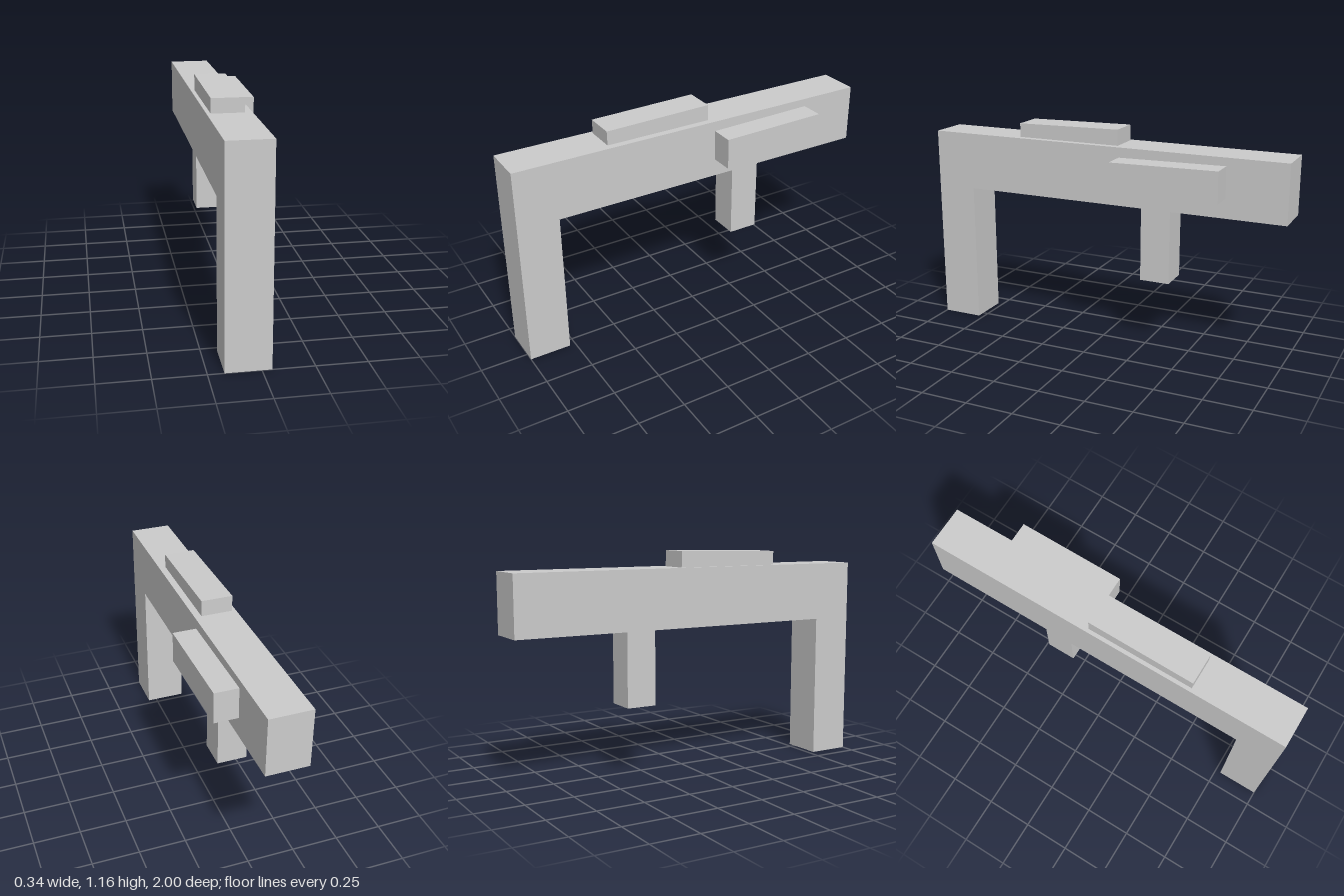
import * as THREE from 'three';

export function createModel() {
  const group = new THREE.Group();
  const material = new THREE.MeshStandardMaterial({ color: 0xcccccc, flatShading: true });

  const add = (name, geometry) => {
    const mesh = new THREE.Mesh(geometry, material);
    mesh.name = name;
    group.add(mesh);
    return mesh;
  };
  const addBox = (name, size, position, tilt = 0) => {
    const mesh = add(name, new THREE.BoxGeometry(...size));
    mesh.position.set(...position);
    mesh.rotation.x = tilt;
  };

  // L-shaped body: long beam with the tall front leg, drawn in (z, y) and extruded across x
  const profile = new THREE.Shape(
    [[-1, 0.768], [0.78, 0.768], [0.78, 0], [1, 0], [1, 1.077], [-1, 1.077]]
      .map(([z, y]) => new THREE.Vector2(-z, y))
  );
  const width = 0.22;
  const body = new THREE.ExtrudeGeometry(profile, { depth: width, bevelEnabled: false });
  body.rotateY(Math.PI / 2);
  body.translate(-0.172, 0, 0);
  add('beamAndFrontLeg', body);

  // Short peg hanging under the beam
  addBox('lowerPeg', [0.16, 0.41, 0.16], [-0.047, 0.577, -0.31]);

  // Two matching blocks sunk into the beam, tipped by one degree
  const tilt = Math.PI / 180;
  const block = [0.164, 0.164, 0.575];
  addBox('topBlock', block, [-0.07, 1.074, 0.2], tilt);
  addBox('sideBlock', block, [0.09, 0.947, -0.397], tilt);

  return group;
}
